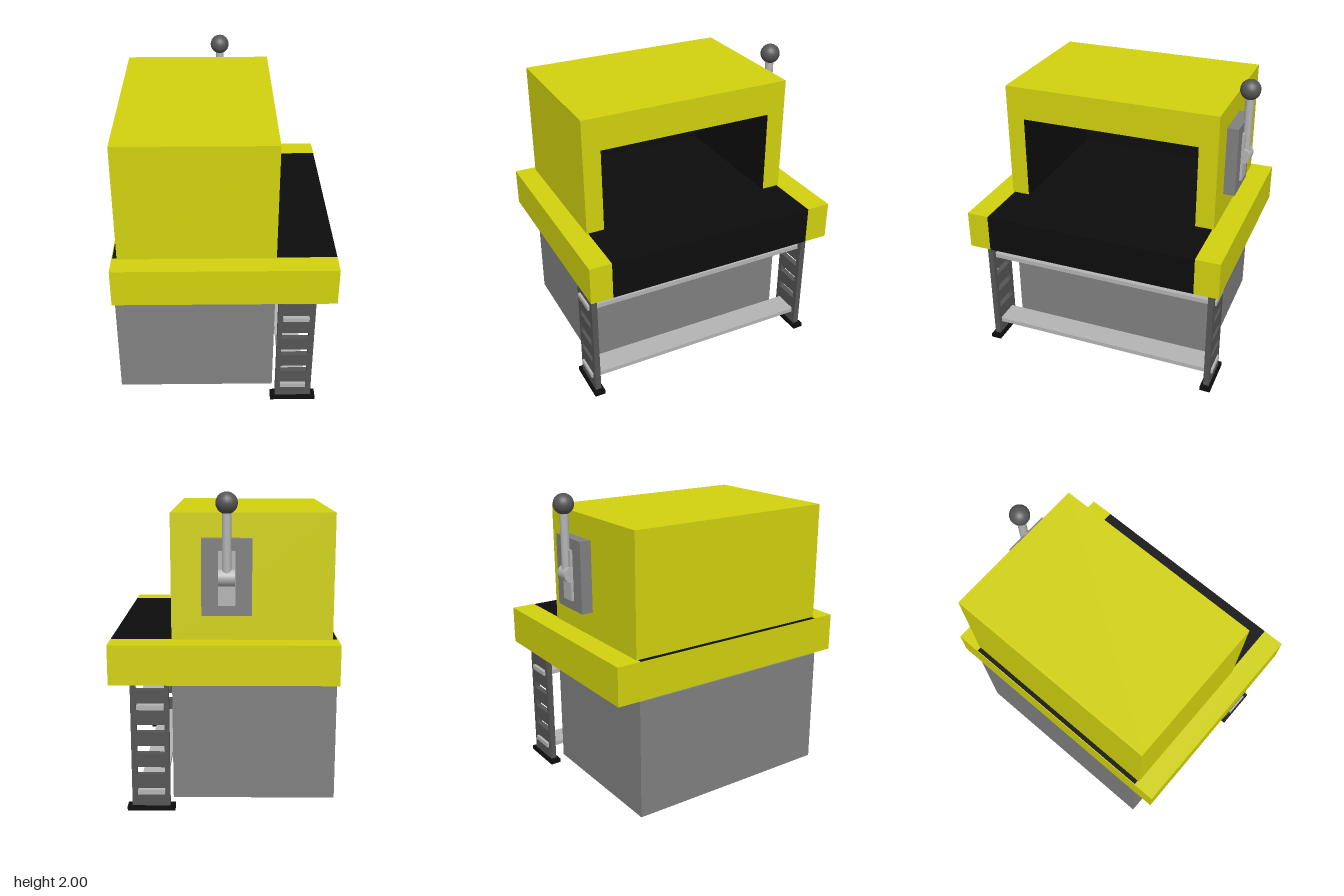
import * as THREE from 'three';

const mat = (color) => new THREE.MeshStandardMaterial({ color });

export function createModel() {
  const model = new THREE.Group();
  const yellow = mat(0xd2d20f), black = mat(0x0d0d0d), grey = mat(0x808080);
  const dark = mat(0x555555), light = mat(0xb4b4b4);

  const add = (name, geometry, material, parent = model) => {
    const mesh = new THREE.Mesh(geometry, material);
    mesh.name = name;
    parent.add(mesh);
    return mesh;
  };
  // Box given by its limits on each axis
  const box = (name, [x0, x1], [y0, y1], [z0, z1], material, parent) => {
    const mesh = add(name, new THREE.BoxGeometry(x1 - x0, y1 - y0, z1 - z0), material, parent);
    mesh.position.set((x0 + x1) / 2, (y0 + y1) / 2, (z0 + z1) / 2);
    return mesh;
  };
  const extrude = (shape, depth) => new THREE.ExtrudeGeometry(shape, { depth, bevelEnabled: false });
  const polygon = (points) => new THREE.Shape(points.map(([x, y]) => new THREE.Vector2(x, y)));

  // Arch in the z-y plane, extruded along x
  const arch = (name, outer, inner, y0, x0, x1, material) => {
    const [a, b, top] = outer, [c, d, innerTop] = inner;
    const shape = polygon([[-b, y0], [-d, y0], [-d, innerTop], [-c, innerTop],
      [-c, y0], [-a, y0], [-a, top], [-b, top]]);
    const mesh = add(name, extrude(shape, x1 - x0), material);
    mesh.rotation.y = Math.PI / 2;
    mesh.position.x = x0;
  };

  // Cabinet and bed
  box('cabinet', [-0.707, 0.325], [0.045, 0.832], [-0.71, 0.735], grey);
  box('frontRail', [-0.707, 0.705], [0.838, 1.09], [0.725, 0.872], yellow);
  box('backRail', [-0.707, 0.705], [0.838, 1.09], [-0.862, -0.7], yellow);
  box('sidePanel', [-0.707, -0.702], [0.838, 1.088], [-0.7, 0.725], yellow);
  box('conveyorBed', [-0.702, 0.705], [0.838, 1.088], [-0.7, 0.725], black);

  // Hood with a dark tunnel open on one side
  arch('hood', [-0.71, 0.735, 1.87], [-0.585, 0.615, 1.65], 1.09, -0.66, 0.325, yellow);
  box('hoodEndWall', [-0.673, -0.66], [1.09, 1.87], [-0.71, 0.735], yellow);
  arch('tunnelLining', [-0.585, 0.615, 1.65], [-0.58, 0.61, 1.645], 1.088, -0.655, 0.325, black);
  box('tunnelEnd', [-0.66, -0.655], [1.088, 1.65], [-0.585, 0.615], black);

  // Slotted legs with a notch at the top, standing on feet
  for (const [side, z] of [['front', 0.806], ['back', -0.782]]) {
    const shape = polygon([[0.34, 0.025], [0.58, 0.025], [0.58, 0.838], [0.547, 0.838],
      [0.547, 0.795], [0.368, 0.795], [0.368, 0.838], [0.34, 0.838]]);
    for (let i = 0; i < 5; i++) {
      const y = 0.098 + i * 0.14;
      shape.holes.push(polygon([[0.37, y], [0.37, y + 0.048], [0.545, y + 0.048], [0.545, y]]));
    }
    add(side + 'Leg', extrude(shape, 0.038), dark).position.z = z - 0.019;
    box(side + 'Foot', [0.308, 0.61], [0, 0.028], [z - 0.036, z + 0.036], black);
  }
  // Long bars joining the legs
  for (const [name, y] of [['lowerBar', 0.122], ['upperBar', 0.68]]) {
    box(name, [0.373, 0.542], [y - 0.015, y + 0.015], [-0.812, 0.837], light);
  }

  // Lever on the back of the hood
  const lever = new THREE.Group();
  lever.name = 'lever';
  lever.position.x = -0.017;
  model.add(lever);
  box('leverPlate', [-0.153, 0.153], [1.255, 1.72], [-0.786, -0.71], grey, lever);
  box('leverGuide', [-0.052, 0.052], [1.32, 1.65], [-0.802, -0.786], light, lever);
  const pivot = add('leverPivot', new THREE.CylinderGeometry(0.052, 0.052, 0.1, 16), light, lever);
  pivot.rotation.z = Math.PI / 2;
  pivot.position.set(0, 1.49, -0.793);
  add('leverRod', new THREE.CylinderGeometry(0.028, 0.028, 0.42, 20), light, lever)
    .position.set(0, 1.69, -0.805);
  add('leverKnob', new THREE.SphereGeometry(0.066, 20, 14), dark, lever)
    .position.set(0, 1.934, -0.806);

  return model;
}
